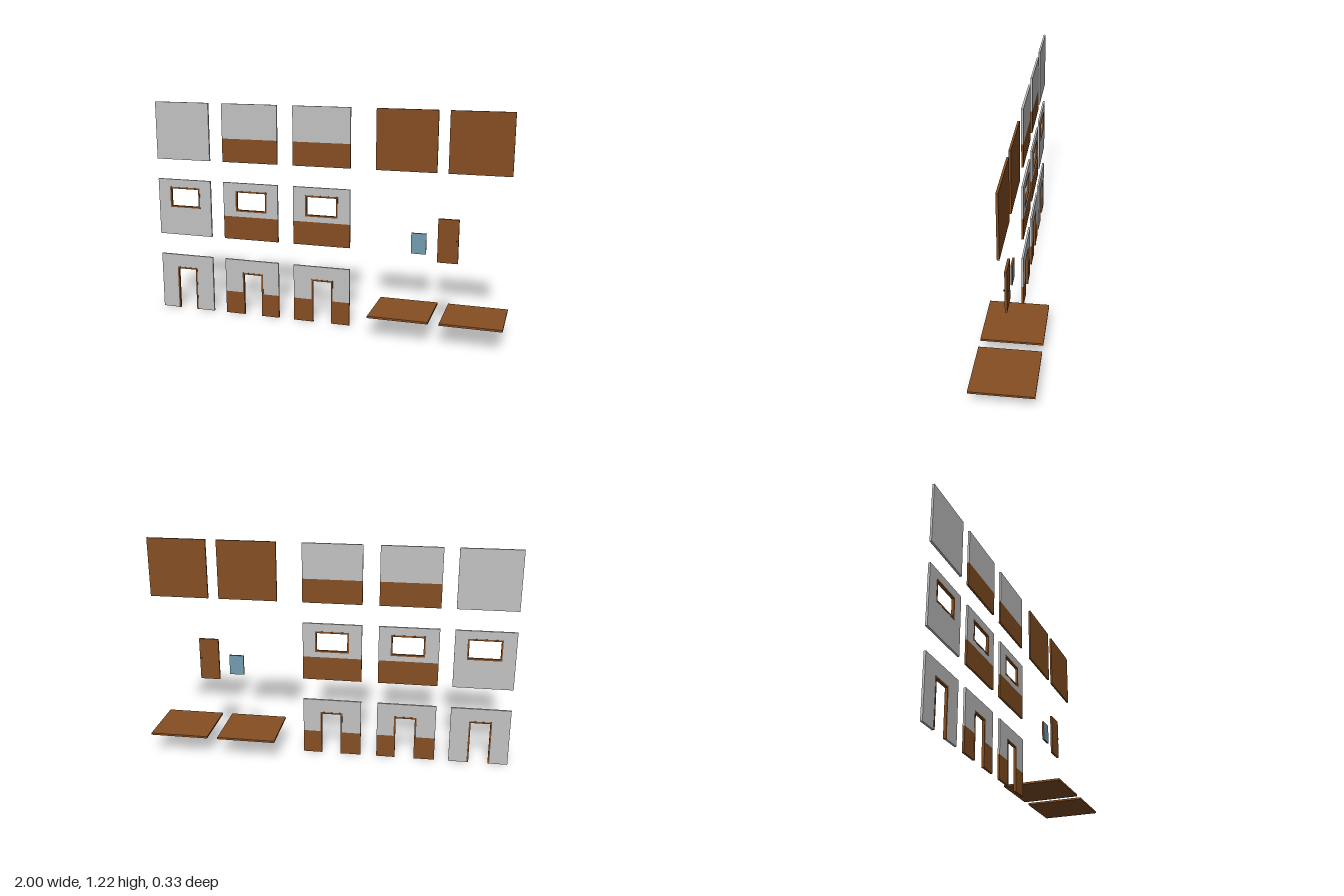
import * as THREE from 'three';

const SIZE = 0.326, DEPTH = 0.011, FRAME_DEPTH = 0.014, TRIM = 0.009, DADO = 0.132;

function material(name, color) {
  const m = new THREE.MeshStandardMaterial({ color });
  m.name = name;
  return m;
}

// Closed polygon from [x, y] pairs
function polygon(points) {
  return new THREE.Shape(points.map(([x, y]) => new THREE.Vector2(x, y)));
}

function rect(x0, y0, x1, y1) {
  return polygon([[x0, y0], [x1, y0], [x1, y1], [x0, y1]]);
}

// Flat slab cut from a shape, centred on z = 0
function slab(name, shape, depth, mat) {
  const geo = new THREE.ExtrudeGeometry(shape, { depth, bevelEnabled: false });
  geo.translate(0, 0, -depth / 2);
  const mesh = new THREE.Mesh(geo, mat);
  mesh.name = name;
  return mesh;
}

function box(name, w, h, d, x, y, z, mat) {
  const mesh = new THREE.Mesh(new THREE.BoxGeometry(w, h, d), mat);
  mesh.name = name;
  mesh.position.set(x, y, z);
  return mesh;
}

export function createModel() {
  const model = new THREE.Group();
  model.name = 'wallKit';
  const plaster = material('plaster', 0xc2c2c2);
  const wood = material('wood', 0x854e22);
  const glass = material('glass', 0x729db0);
  const metal = material('darkMetal', 0x403a36);

  // One wall tile: optional wooden lower band, optional window or door opening
  function wall(kind, dado, left) {
    const g = new THREE.Group();
    g.name = kind + 'Wall';
    const base = dado ? DADO : 0;
    if (kind === 'door') {
      const a = left, b = left + 0.125, top = 0.251;
      g.add(slab('upperWall', polygon([[0, base], [a, base], [a, top], [b, top],
        [b, base], [SIZE, base], [SIZE, SIZE], [0, SIZE]]), DEPTH, plaster));
      if (dado) {
        g.add(slab('lowerWallLeft', rect(0, 0, a, DADO), DEPTH, wood));
        g.add(slab('lowerWallRight', rect(b, 0, SIZE, DADO), DEPTH, wood));
      }
      g.add(slab('doorFrame', polygon([[a, 0], [a + TRIM, 0], [a + TRIM, top - TRIM],
        [b - TRIM, top - TRIM], [b - TRIM, 0], [b, 0], [b, top], [a, top]]), FRAME_DEPTH, wood));
      return g;
    }
    const upper = rect(0, base, SIZE, SIZE);
    if (kind === 'window') {
      const a = left, b = left + 0.186, y0 = 0.162, y1 = 0.281;
      upper.holes.push(rect(a, y0, b, y1));
      const frame = rect(a, y0, b, y1);
      frame.holes.push(rect(a + TRIM, y0 + TRIM, b - TRIM, y1 - TRIM));
      g.add(slab('windowFrame', frame, FRAME_DEPTH, wood));
    }
    g.add(slab('upperWall', upper, DEPTH, plaster));
    if (dado) g.add(slab('lowerWall', rect(0, 0, SIZE, DADO), DEPTH, wood));
    return g;
  }

  // Three columns of wall tiles in three rows
  const columns = [
    { x: -1, dado: false, door: 0.099, window: 0.072 },
    { x: -0.594, dado: true, door: 0.106, window: 0.074 },
    { x: -0.177, dado: true, door: 0.105, window: 0.071 },
  ];
  const rows = [['door', 0], ['window', 0.449], ['plain', 0.891]];
  for (const c of columns) {
    for (const [kind, y] of rows) {
      const g = wall(kind, c.dado, c[kind] ?? 0);
      g.position.set(c.x, y, 0);
      model.add(g);
    }
  }

  // Upright wooden panels and floor tiles
  for (const x of [0.452, 0.837]) {
    model.add(box('woodPanel', SIZE, SIZE, DEPTH, x, 1.054, 0, wood));
    model.add(box('floorTile', SIZE, 0.011, SIZE, x, 0.122, 0, wood));
  }

  // Glass pane with wooden edges
  model.add(box('windowPane', 0.081, 0.113, 0.01, 0.529, 0.506, 0.004,
    [wood, wood, wood, wood, glass, glass]));

  // Door leaf with a knob on both sides
  const door = new THREE.Group();
  door.name = 'door';
  door.position.set(0.686, 0.532, 0.008);
  door.add(box('doorLeaf', 0.11, 0.238, 0.012, 0, 0, 0, wood));
  for (const side of [1, -1]) {
    const knob = new THREE.Mesh(new THREE.CylinderGeometry(0.004, 0.004, 0.007, 12), metal);
    knob.name = 'doorKnob';
    knob.rotation.x = Math.PI / 2;
    knob.position.set(0.044, 0.002, side * 0.0095);
    door.add(knob);
  }
  model.add(door);

  return model;
}
